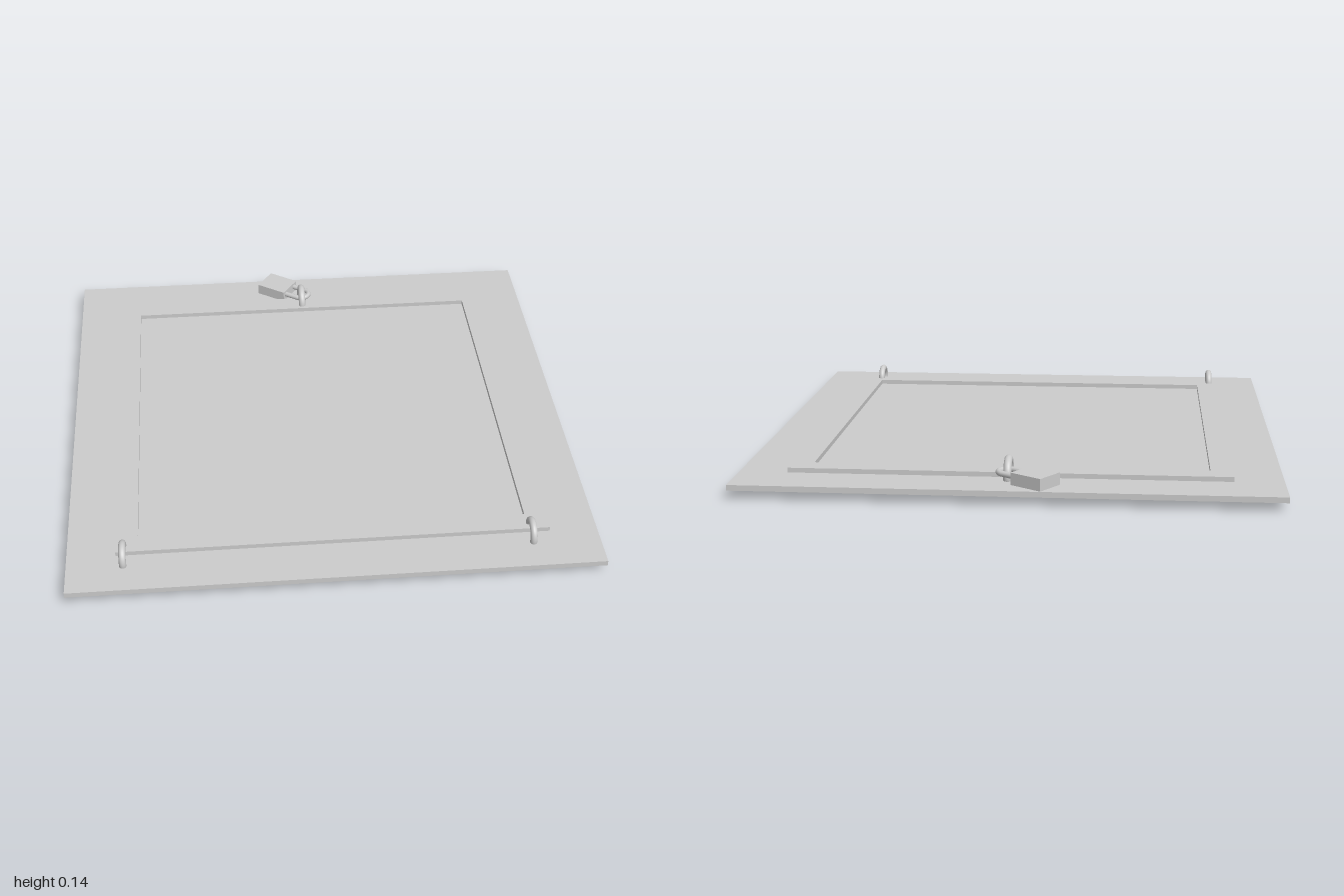
import * as THREE from 'three';

const material = new THREE.MeshStandardMaterial({ color: 0xcccccc });
const SLAB_BOTTOM = 0.033, SLAB_TOP = 0.054, FRAME_TOP = 0.072;

function addMesh(parent, name, geometry, x = 0, y = 0, z = 0) {
  const mesh = new THREE.Mesh(geometry, material);
  mesh.name = name;
  mesh.position.set(x, y, z);
  parent.add(mesh);
  return mesh;
}

// Ring standing in the plane across x, threaded through the slab
function addRing(parent, name, radius, tube, x, y, z) {
  addMesh(parent, name, new THREE.TorusGeometry(radius, tube, 16, 48), x, y, z).rotation.y = Math.PI / 2;
}

function squarePath(PathType, h) {
  return new PathType([[-h, -h], [h, -h], [h, h], [-h, h]].map(([x, y]) => new THREE.Vector2(x, y)));
}

// Padlock lying flat, shackle pointing along local +x
function createPadlock() {
  const lock = new THREE.Group();
  lock.name = 'padlock';
  addMesh(lock, 'padlockBody', new THREE.BoxGeometry(0.136, 0.046, 0.114), 0, 0.077, 0);

  const r = 0.035, legStart = 0.06, arcX = 0.125;
  const path = new THREE.CurvePath();
  const at = (x, z) => new THREE.Vector3(x, 0, z);
  const k = r * 0.5523; // handle length for a quarter circle
  path.add(new THREE.LineCurve3(at(legStart, -r), at(arcX, -r)));
  path.add(new THREE.CubicBezierCurve3(at(arcX, -r), at(arcX + k, -r), at(arcX + r, -k), at(arcX + r, 0)));
  path.add(new THREE.CubicBezierCurve3(at(arcX + r, 0), at(arcX + r, k), at(arcX + k, r), at(arcX, r)));
  path.add(new THREE.LineCurve3(at(arcX, r), at(legStart, r)));
  addMesh(lock, 'padlockShackle', new THREE.TubeGeometry(path, 48, 0.011, 14), 0, 0.081, 0);

  lock.position.set(-0.104, 0, -0.911);
  lock.rotation.y = -0.6;
  return lock;
}

export function createModel() {
  const model = new THREE.Group();
  model.name = 'lockedHatch';

  // Base slab
  const slabHeight = SLAB_TOP - SLAB_BOTTOM;
  addMesh(model, 'baseSlab', new THREE.BoxGeometry(2, slabHeight, 2), 0, SLAB_BOTTOM + slabHeight / 2, 0);

  // Raised square frame around the sunken panel
  const outline = squarePath(THREE.Shape, 0.818);
  outline.holes.push(squarePath(THREE.Path, 0.735));
  const frame = new THREE.ExtrudeGeometry(outline, { depth: FRAME_TOP - SLAB_TOP, bevelEnabled: false });
  frame.rotateX(-Math.PI / 2);
  addMesh(model, 'raisedFrame', frame, 0, SLAB_TOP, 0);

  // Two hinge rings in front, one larger lock ring behind
  addRing(model, 'rightHingeRing', 0.046, 0.0135, -0.79, 0.065, 0.83);
  addRing(model, 'leftHingeRing', 0.046, 0.0135, 0.745, 0.065, 0.83);
  addRing(model, 'lockRing', 0.053, 0.015, 0, 0.068, -0.814);

  model.add(createPadlock());
  return model;
}
